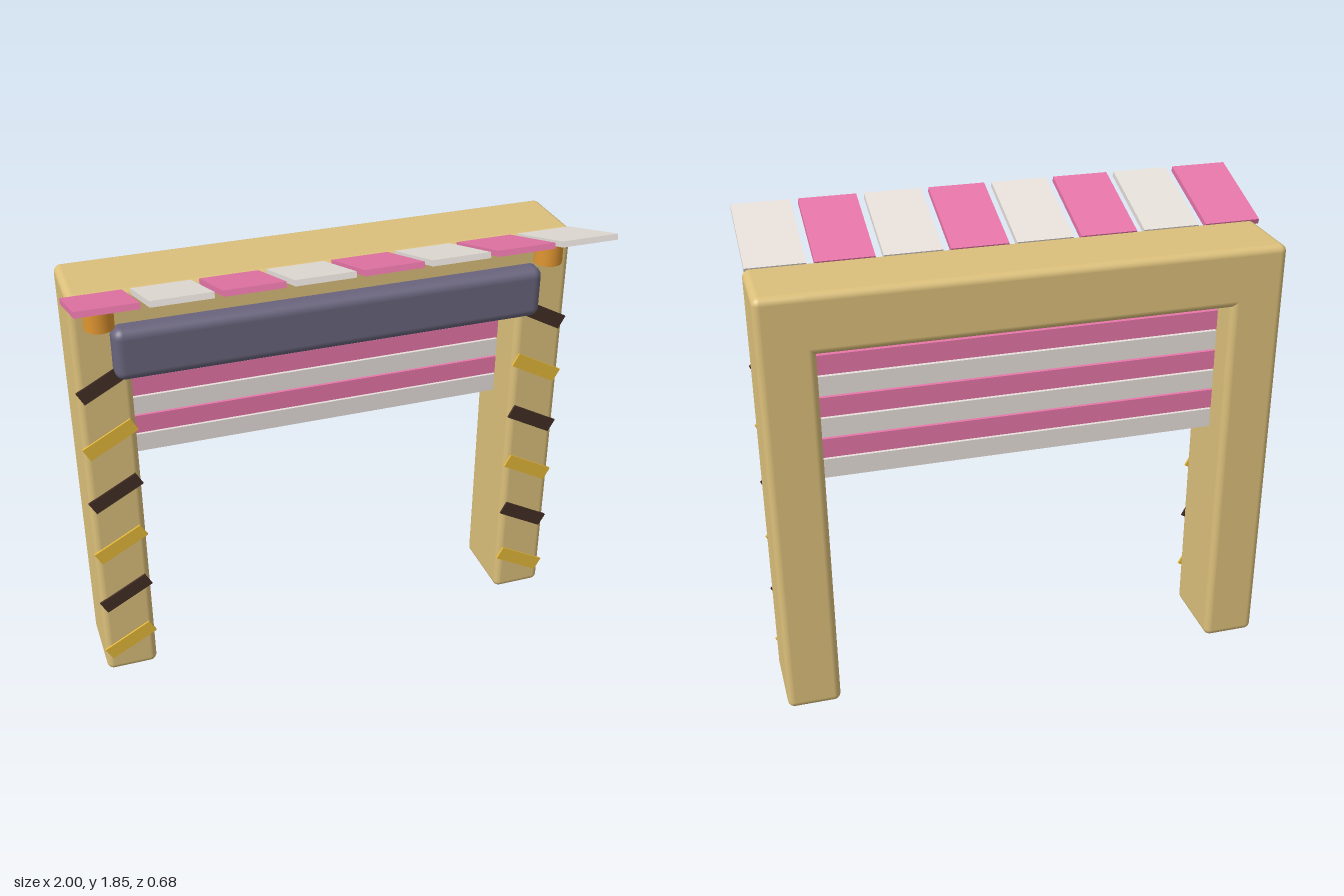
import * as THREE from 'three';
import { RoundedBoxGeometry } from 'three/addons/geometries/RoundedBoxGeometry.js';

const flat = (name, color) => {
  const m = new THREE.MeshStandardMaterial({ color });
  m.name = name;
  return m;
};

export function createModel() {
  const sand = flat('sand', 0xdcc07b);
  const pink = flat('pink', 0xea78ab);
  const white = flat('offWhite', 0xe8e1dc);
  const slate = flat('slate', 0x69647c);
  const orange = flat('orange', 0xe09631);
  const yellow = flat('yellow', 0xe4b83a);
  const brown = flat('darkBrown', 0x432e25);

  const model = new THREE.Group();
  model.name = 'stallGate';
  const cx = 0.007; // centre line of the frame

  const add = (name, geometry, material, x, y, z, parent = model) => {
    const mesh = new THREE.Mesh(geometry, material);
    mesh.name = name;
    mesh.position.set(x, y, z);
    parent.add(mesh);
    return mesh;
  };
  const group = (name) => {
    const g = new THREE.Group();
    g.name = name;
    model.add(g);
    return g;
  };

  // Frame: two posts and a header with soft edges
  const frame = group('frame');
  const post = new RoundedBoxGeometry(0.209, 1.73, 0.317, 4, 0.028);
  for (const side of [-1, 1])
    add('post', post, sand, cx + side * 0.8815, 0.865, -0.1785, frame);
  add('header', new RoundedBoxGeometry(1.972, 0.23, 0.317, 4, 0.028), sand, cx, 1.615, -0.1785, frame);

  // Roller housing across the front
  add('rollerHousing', new RoundedBoxGeometry(1.69, 0.208, 0.11, 5, 0.038), slate, cx, 1.5, -0.006);

  // Shutter slats inside the opening
  const shutter = group('shutter');
  const slat = new THREE.BoxGeometry(1.555, 0.077, 0.03);
  for (let i = 0; i < 6; i++)
    add('shutterSlat', slat, i % 2 ? pink : white, cx, 0.987 + i * 0.0842, -0.2, shutter);

  // Awning boards, rising towards the front
  const awning = group('awning');
  const board = new THREE.BoxGeometry(0.222, 0.022, 0.386);
  for (let i = 0; i < 8; i++)
    add('awningBoard', board, i % 2 ? white : pink, -0.889 + i * 0.2517, 1.781, 0.153, awning)
      .rotation.x = -0.32;

  // Lamps and slanted warning stripes, mirrored on both posts
  const lamps = group('lamps');
  const stripes = group('stripes');
  const lamp = new THREE.CylinderGeometry(0.056, 0.056, 0.1, 24);
  const stripe = new THREE.BoxGeometry(0.217, 0.059, 0.009);
  for (const side of [-1, 1]) {
    add('lamp', lamp, orange, cx + side * 0.882, 1.66, -0.004, lamps);
    for (let i = 0; i < 6; i++)
      add('postStripe', stripe, i % 2 ? brown : yellow, cx + side * 0.881, 0.148 + i * 0.245, -0.0175, stripes)
        .rotation.z = -side * 0.5;
  }
  return model;
}
